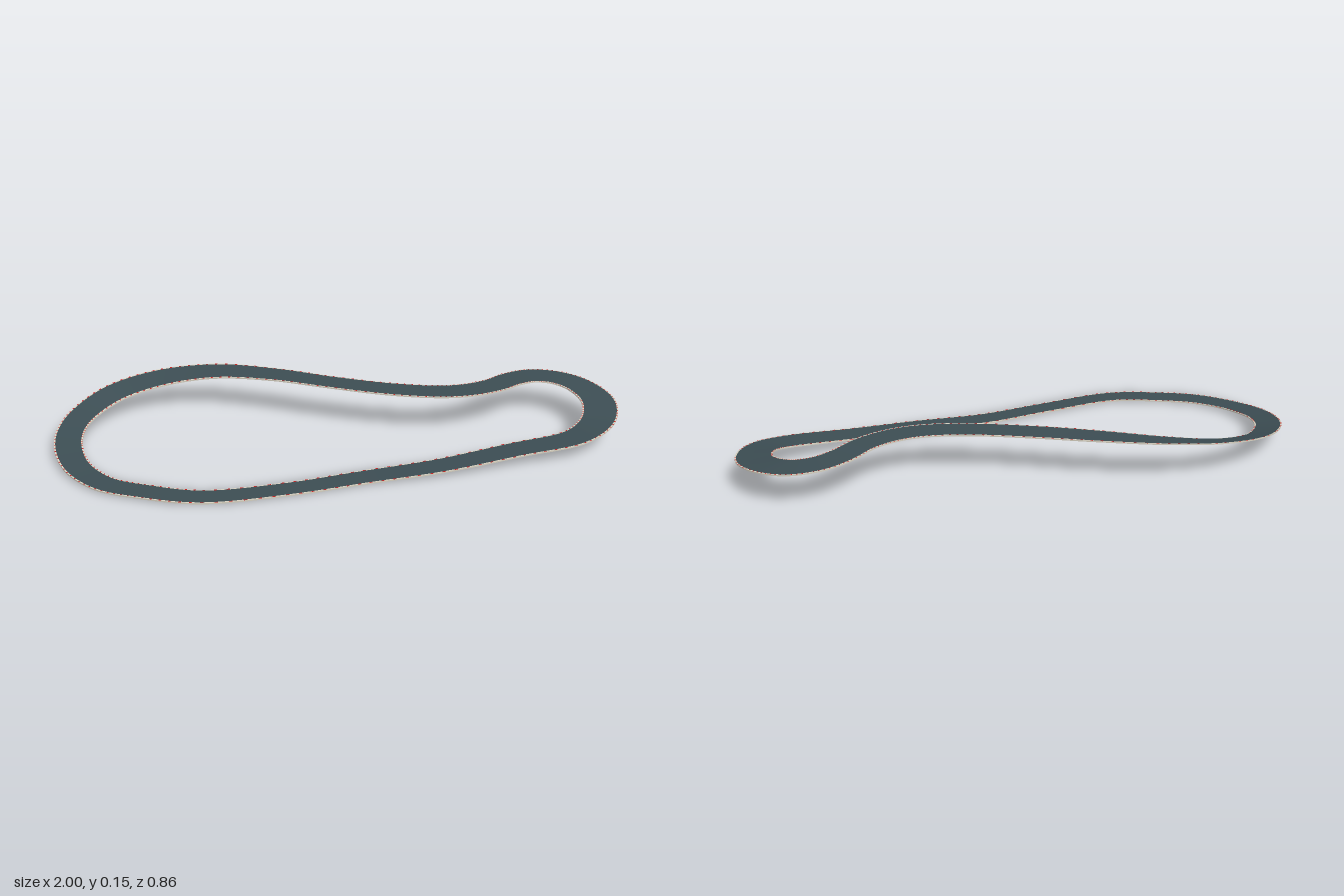
import * as THREE from 'three';

// centreline stations: x, z, height, half width, bank (outer edge rise)
const stations = [
  [-0.55, 0.36, 0.003, 0.043, 0], [-0.26, 0.375, 0, 0.043, 0], [0, 0.367, 0.003, 0.045, 0],
  [0.27, 0.378, 0.017, 0.048, 0], [0.54, 0.368, 0.036, 0.051, 0], [0.77, 0.362, 0.054, 0.055, 0],
  [0.87, 0.312, 0.074, 0.06, 0], [0.922, 0.235, 0.09, 0.063, 0], [0.936, 0.16, 0.1, 0.064, 0],
  [0.906, 0.068, 0.113, 0.062, 0], [0.845, 0.008, 0.121, 0.06, 0], [0.76, -0.014, 0.128, 0.058, 0],
  [0.67, 0.007, 0.133, 0.056, 0], [0.58, 0.052, 0.138, 0.054, 0], [0.47, 0.074, 0.141, 0.053, 0],
  [0.36, 0.062, 0.143, 0.052, 0], [0.2, 0.0, 0.144, 0.051, 0], [0, -0.115, 0.145, 0.05, 0],
  [-0.18, -0.232, 0.145, 0.05, 0.002], [-0.39, -0.342, 0.135, 0.049, 0.008],
  [-0.59, -0.382, 0.112, 0.049, 0.013], [-0.765, -0.347, 0.086, 0.049, 0.013],
  [-0.887, -0.245, 0.06, 0.049, 0.008], [-0.937, -0.15, 0.044, 0.049, 0.004],
  [-0.951, -0.05, 0.029, 0.049, 0.002], [-0.927, 0.075, 0.013, 0.047, 0],
  [-0.85, 0.195, 0.005, 0.046, 0], [-0.73, 0.277, 0.004, 0.045, 0],
];
const N = 720, EDGE = 0.005, THICK = 0.005;

const curve = new THREE.CatmullRomCurve3(stations.map(([x, z, y]) => new THREE.Vector3(x, y, z)), true);
const shape = new THREE.CatmullRomCurve3(stations.map((s) => new THREE.Vector3(s[3], s[4], 0)), true, 'catmullrom', 0.5);

// frames along the loop; the side vector points to the outside
const frames = [];
for (let i = 0; i < N; i++) {
  const t = i / N, tan = curve.getTangent(t), w = shape.getPoint(t);
  frames.push({
    p: curve.getPoint(t), half: w.x, bank: w.y,
    side: new THREE.Vector3(-tan.z, 0, tan.x).normalize(),
  });
}

// point on the slab: s = -1 inner edge, +1 outer edge, inset from that edge, at height h
function slabPoint(f, [s, inset, h]) {
  const d = s * (f.half - inset);
  return [f.p.x + f.side.x * d, Math.max(0, f.p.y) + f.bank * d / f.half + h, f.p.z + f.side.z * d];
}

// closed strip from edge a (inner) to edge b (outer), facing up in that order;
// an accent material colours every fourth segment
function strip(name, a, b, material, accent) {
  const pos = [], index = [];
  const geo = new THREE.BufferGeometry();
  for (const f of frames) pos.push(...slabPoint(f, a), ...slabPoint(f, b));
  for (let i = 0; i < N; i++) {
    const p = 2 * i, q = 2 * ((i + 1) % N);
    index.push(p, p + 1, q + 1, p, q + 1, q);
    if (accent) geo.addGroup(6 * i, 6, i % 4 === 0 ? 1 : 0);
  }
  geo.setAttribute('position', new THREE.Float32BufferAttribute(pos, 3));
  geo.setIndex(index);
  geo.computeVertexNormals();
  const mesh = new THREE.Mesh(geo, accent ? [material, accent] : material);
  mesh.name = name;
  return mesh;
}

export function createModel() {
  const mat = (name, color) => Object.assign(new THREE.MeshStandardMaterial({ color }), { name });
  const asphalt = mat('asphalt', 0x3c4d53);
  const underside = mat('underside', 0x181818);
  const kerb = mat('kerb white', 0xd6d0c0);
  const kerbRed = mat('kerb red', 0xc02020);

  const group = new THREE.Group();
  group.name = 'raceTrack';
  group.add(
    strip('roadSurface', [-1, EDGE, THICK], [1, EDGE, THICK], asphalt),
    strip('innerKerb', [-1, 0, THICK], [-1, EDGE, THICK], kerb, kerbRed),
    strip('outerKerb', [1, EDGE, THICK], [1, 0, THICK], kerb, kerbRed),
    strip('roadUnderside', [1, 0, 0], [-1, 0, 0], underside),
    strip('innerWall', [-1, 0, 0], [-1, 0, THICK], kerb),
    strip('outerWall', [1, 0, THICK], [1, 0, 0], kerb),
  );
  return group;
}
